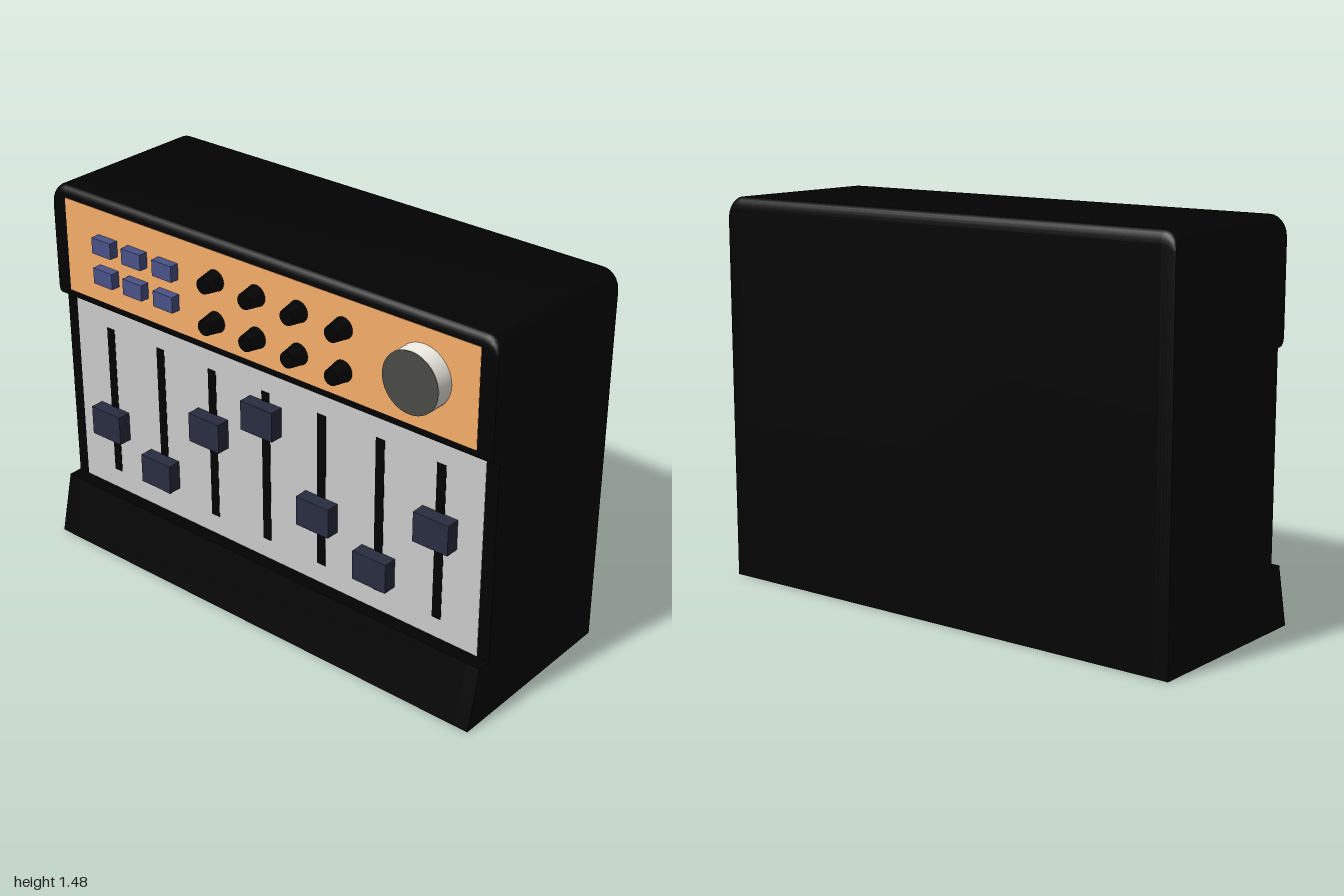
import * as THREE from 'three';
import { toCreasedNormals } from 'three/addons/utils/BufferGeometryUtils.js';

const mat = (color) => new THREE.MeshStandardMaterial({ color });
const black = mat(0x020202);
const orange = mat(0xf6ad69);
const grey = mat(0xc8c8c8);
const navy = mat(0x282d40);
const blue = mat(0x4a5288);
const ivory = mat(0xf4f2e8);
const darkGrey = mat(0x4a4a46);

function add(parent, name, geometry, material, x = 0, y = 0, z = 0) {
  const mesh = new THREE.Mesh(geometry, material);
  mesh.name = name;
  mesh.position.set(x, y, z);
  parent.add(mesh);
}

// Box given by its centre in x and y, and its back and front in z
function block(parent, name, material, x, y, w, h, back, front) {
  add(parent, name, new THREE.BoxGeometry(w, h, front - back), material, x, y, (back + front) / 2);
}

// Round part pointing forward
function dial(parent, name, material, x, y, tip, base, back, front, sides) {
  const geometry = new THREE.CylinderGeometry(tip, base, front - back, sides).rotateX(Math.PI / 2);
  add(parent, name, geometry, material, x, y, (back + front) / 2);
}

// Side profile swept across the width, with the two upper side edges rounded
function casingGeometry() {
  const top = 1.475, r = 0.03;
  const s = new THREE.Shape();
  s.moveTo(-0.38, 0);
  s.lineTo(0.38, 0);
  s.lineTo(0.325, 0.235);
  s.lineTo(0.27, 0.235);
  s.lineTo(0.27, 1.02);
  s.lineTo(0.285, 1.02);
  s.quadraticCurveTo(0.31, 1.025, 0.31, 1.06);
  s.lineTo(0.31, top - 0.04);
  s.quadraticCurveTo(0.31, top, 0.31 - r, top);
  s.lineTo(-0.38 + r, top);
  s.quadraticCurveTo(-0.38, top, -0.38, top - 0.045);
  s.closePath();

  const round = 6, steps = 2 * round + 1, radius = 0.055, hinge = 1.3;
  const g = new THREE.ExtrudeGeometry(s, { depth: steps, steps, bevelEnabled: false, curveSegments: 6 });
  g.rotateY(-Math.PI / 2);
  const p = g.attributes.position;
  for (let i = 0; i < p.count; i++) {
    const k = Math.round(-p.getX(i));
    const a = (Math.min(k, steps - k) / round) * Math.PI / 2;
    const x = 1 - radius * (1 - Math.cos(a));
    const drop = radius * (1 - Math.sin(a));
    const y = p.getY(i);
    p.setX(i, k <= round ? x : -x);
    if (y > hinge) p.setY(i, hinge + (y - hinge) * (top - drop - hinge) / (top - hinge));
  }
  return toCreasedNormals(g, Math.PI / 6);
}

export function createModel() {
  const model = new THREE.Group();
  model.name = 'mixingConsole';
  add(model, 'casing', casingGeometry(), black);

  // Face plates
  block(model, 'controlPlate', orange, 0, 1.245, 1.872, 0.37, 0.29, 0.3115);
  block(model, 'faderPlate', grey, 0, 0.626, 1.9, 0.782, 0.25, 0.2715);

  // Push buttons
  const buttons = new THREE.Group();
  buttons.name = 'buttons';
  model.add(buttons);
  for (const y of [1.3, 1.18])
    for (const x of [-0.72, -0.57, -0.417])
      block(buttons, 'button', blue, x, y, 0.094, 0.062, 0.3, 0.348);

  // Small tapered knobs
  const knobs = new THREE.Group();
  knobs.name = 'knobs';
  model.add(knobs);
  for (const y of [1.32, 1.16])
    for (const x of [-0.19, 0, 0.19, 0.383])
      dial(knobs, 'knob', black, x, y, 0.03, 0.042, 0.3, 0.375, 24);

  // Large dial with a dark face
  const main = new THREE.Group();
  main.name = 'mainDial';
  model.add(main);
  dial(main, 'dialBody', ivory, 0.715, 1.256, 0.114, 0.114, 0.3, 0.38, 40);
  dial(main, 'dialFace', darkGrey, 0.715, 1.256, 0.113, 0.113, 0.375, 0.382, 40);

  // Faders: slot and sliding cap, from the model's right to its left
  const faders = new THREE.Group();
  faders.name = 'faders';
  model.add(faders);
  [0.537, 0.42, 0.692, 0.834, 0.54, 0.42, 0.684].forEach((y, i) => {
    const x = (i - 3) * 0.258;
    block(faders, 'faderSlot', black, x, 0.623, 0.038, 0.616, 0.26, 0.273);
    block(faders, 'faderCap', navy, x, y, 0.147, 0.117, 0.265, 0.325);
  });
  return model;
}
